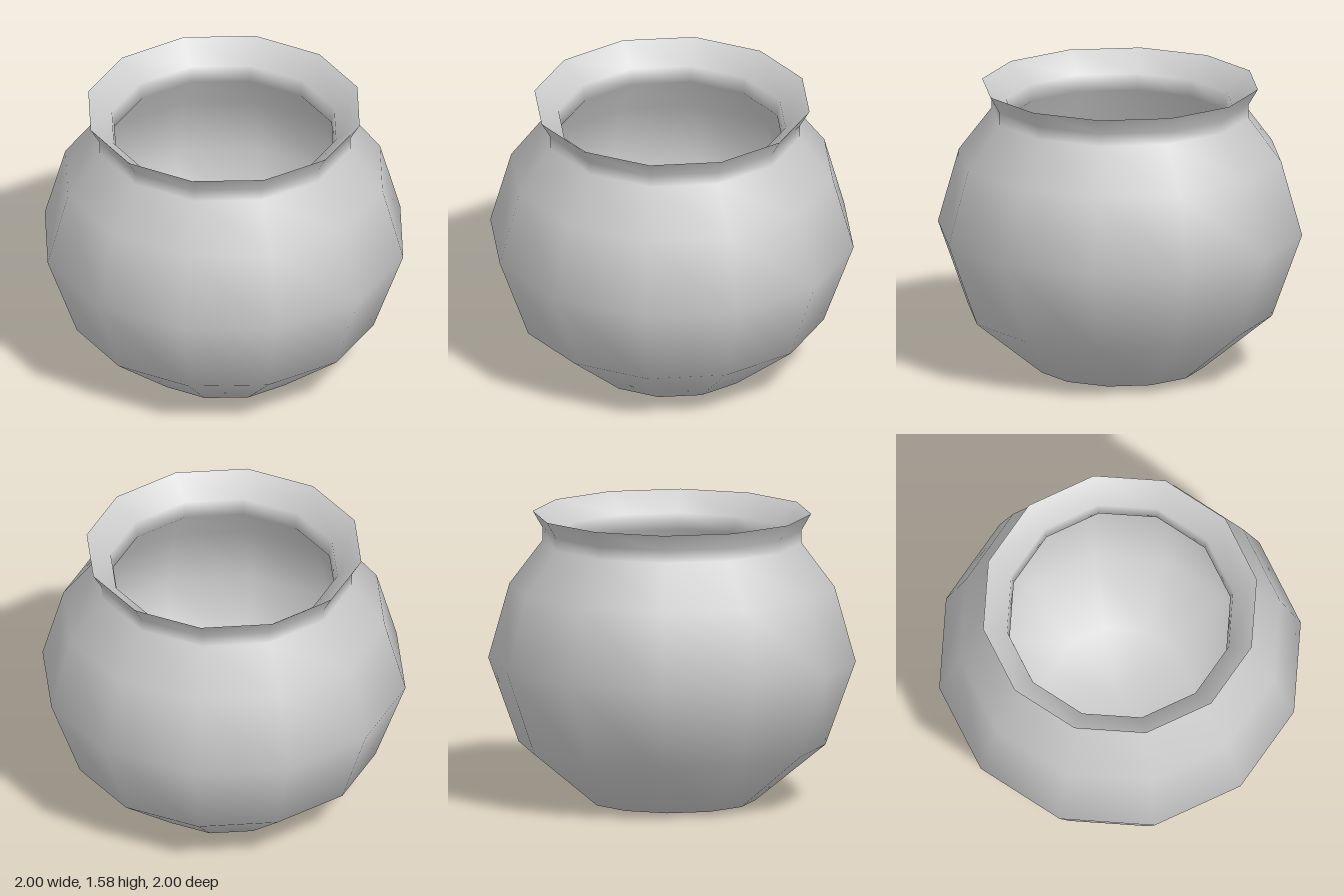
import * as THREE from 'three';

const SIDES = 12;

// Smooth-shaded twelve-sided surface of revolution from [radius, height] pairs
function turned(name, profile, material) {
  const points = profile.map(([r, y]) => new THREE.Vector2(r, y));
  const mesh = new THREE.Mesh(new THREE.LatheGeometry(points, SIDES), material);
  mesh.name = name;
  return mesh;
}

export function createModel() {
  const group = new THREE.Group();
  group.name = 'pot';
  const material = new THREE.MeshStandardMaterial({ color: 0xcccccc });

  // Outside: flat base, round belly, short neck and flared lip
  group.add(turned('outerWall', [
    [0, 0], [0.455, 0], [0.835, 0.31], [1, 0.77],
    [0.885, 1.18], [0.705, 1.42], [0.705, 1.49], [0.757, 1.58],
  ], material));

  // Inside: from the sharp lip down through the neck to the hollow's floor
  group.add(turned('innerWall', [
    [0.757, 1.58], [0.625, 1.47], [0.61, 1.38], [0.79, 1.14],
    [0.89, 0.77], [0.74, 0.37], [0.41, 0.1], [0, 0.1],
  ], material));

  return group;
}
